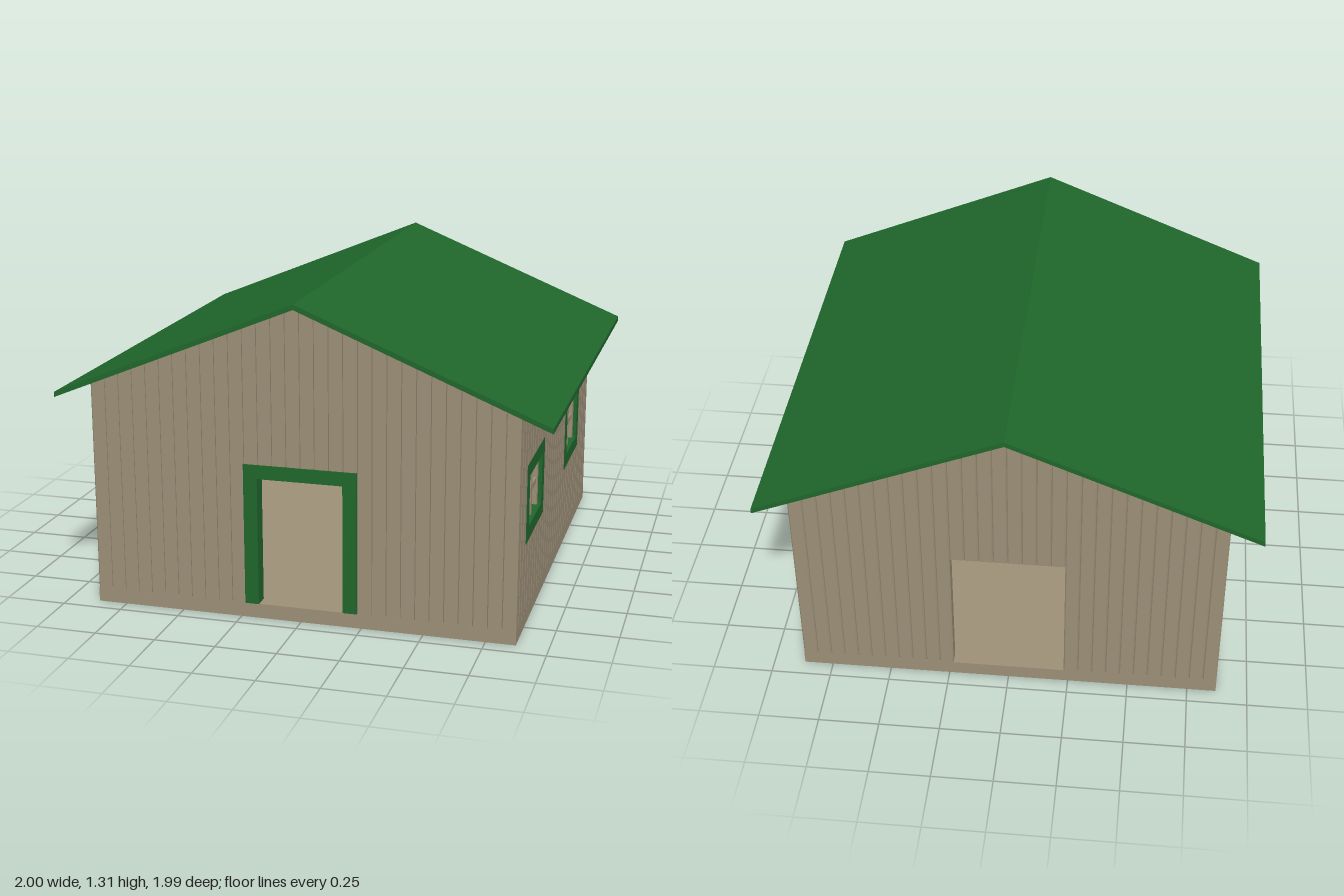
import * as THREE from 'three';
import { mergeGeometries } from 'three/addons/utils/BufferGeometryUtils.js';

const W = 0.87, D = 0.933;          // half width and half depth of the walls
const BASE = 0.06, THICK = 0.058;   // floor height, wall thickness
const N_END = 30, N_SIDE = 32;      // planks per wall
const DOOR_TOP = 0.645, WIN_LOW = 0.352, WIN_TOP = 0.675;
const PITCH = 0.41, RIDGE = 1.31, ROOF_T = 0.021;

const wood = new THREE.MeshStandardMaterial({ color: 0x9c8f77, flatShading: true });
const green = new THREE.MeshStandardMaterial({ color: 0x1f662b, flatShading: true });

const roofUnder = (x) => RIDGE - ROOF_T - PITCH * Math.abs(x);

function add(parent, name, geometry, material) {
  const mesh = new THREE.Mesh(geometry, material);
  mesh.name = name;
  parent.add(mesh);
  return mesh;
}

function box(parent, name, material, size, pos) {
  const mesh = add(parent, name, new THREE.BoxGeometry(...size), material);
  mesh.position.set(...pos);
  return mesh;
}

// Upright plank with chamfered long edges; top = null runs it up to the roof slope
function plank(width, bottom, top, x, z, turned) {
  const a = width / 2, b = THICK / 2, c = 0.005;
  const section = new THREE.Shape([
    [-a + c, -b], [a - c, -b], [a, -b + c], [a, b - c],
    [a - c, b], [-a + c, b], [-a, b - c], [-a, -b + c],
  ].map(([u, v]) => new THREE.Vector2(u, v)));
  const height = (top ?? 1) - bottom;
  const g = new THREE.ExtrudeGeometry(section, { depth: height, bevelEnabled: false });
  g.rotateX(-Math.PI / 2);
  if (turned) g.rotateY(Math.PI / 2);
  g.translate(x, bottom, z);
  if (top === null) {
    const p = g.attributes.position;
    for (let i = 0; i < p.count; i++) {
      if (p.getY(i) > bottom + height / 2) p.setY(i, roofUnder(p.getX(i)));
    }
    g.computeVertexNormals();
  }
  return g;
}

// Gable wall with a doorway eight planks wide
function gableWall(parent, name, z) {
  const w = (2 * W) / N_END, planks = [];
  for (let i = 0; i < N_END; i++) {
    const x = -W + (i + 0.5) * w;
    const overDoor = i >= 11 && i <= 18;
    planks.push(plank(w, overDoor ? DOOR_TOP : BASE, null, x, z, false));
  }
  add(parent, name, mergeGeometries(planks), wood);
}

// Long wall with two window openings seven planks wide
const sideStep = (2 * D) / N_SIDE;
const windowStarts = [3, 20];
function sideWall(parent, name, x) {
  const planks = [];
  for (let i = 1; i < N_SIDE - 1; i++) {
    const z = D - (i + 0.5) * sideStep;
    if (windowStarts.some((s) => i >= s && i < s + 7)) {
      planks.push(plank(sideStep, BASE, WIN_LOW, x, z, true));
      planks.push(plank(sideStep, WIN_TOP, null, x, z, true));
    } else {
      planks.push(plank(sideStep, BASE, null, x, z, true));
    }
  }
  add(parent, name, mergeGeometries(planks), wood);
}

// Green casing with a wooden sash and crossed glazing bars
function windowUnit(name) {
  const g = new THREE.Group();
  g.name = name;
  const w = 7 * sideStep, h = WIN_TOP - WIN_LOW, t = 0.057, depth = THICK + 0.002;
  const inW = w - 2 * t, inH = h - 2 * t, bar = 0.026;
  for (const s of [-1, 1]) {
    box(g, 'casingSide', green, [depth, h, t], [0, 0, s * (w - t) / 2]);
    box(g, 'casingRail', green, [depth, t, inW], [0, s * (h - t) / 2, 0]);
    box(g, 'sashStile', wood, [0.03, inH, bar], [0, 0, s * (inW - bar) / 2]);
  }
  box(g, 'verticalBar', wood, [0.026, inH, bar], [0, 0, 0]);
  box(g, 'crossBar', wood, [0.022, bar, inW - 2 * bar], [0, 0, 0]);
  return g;
}

export function createModel() {
  const house = new THREE.Group();
  house.name = 'cabin';

  box(house, 'floorSlab', wood, [2 * W, BASE, 2 * D], [0, BASE / 2, 0]);

  gableWall(house, 'frontWall', D - THICK / 2);
  gableWall(house, 'backWall', -D + THICK / 2);
  for (const s of [-1, 1]) {
    const side = s > 0 ? 'left' : 'right';
    const x = s * (W - THICK / 2);
    sideWall(house, side + 'Wall', x);
    for (const start of windowStarts) {
      const win = windowUnit(side + (start < 10 ? 'FrontWindow' : 'BackWindow'));
      win.position.set(x, (WIN_LOW + WIN_TOP) / 2, D - (start + 3.5) * sideStep);
      house.add(win);
    }
  }

  // Door frame set in the front opening
  const frame = new THREE.Group();
  frame.name = 'doorFrame';
  const half = (8 * W) / N_END, t = 0.057, depth = THICK + 0.004;
  const z = D - THICK / 2 + 0.002;
  for (const s of [-1, 1]) {
    box(frame, 'doorJamb', green, [t, DOOR_TOP - BASE, depth],
      [s * (half - t / 2), (DOOR_TOP + BASE) / 2, z]);
  }
  box(frame, 'doorLintel', green, [2 * (half - t), t, depth], [0, DOOR_TOP - t / 2, z]);
  house.add(frame);

  // Thin pitched roof overhanging all sides
  const eave = RIDGE - PITCH;
  const profile = new THREE.Shape([
    [-1, eave], [-1, eave - ROOF_T], [0, RIDGE - ROOF_T],
    [1, eave - ROOF_T], [1, eave], [0, RIDGE],
  ].map(([x, y]) => new THREE.Vector2(x, y)));
  const roof = new THREE.ExtrudeGeometry(profile, { depth: 1.99, bevelEnabled: false });
  roof.translate(0, 0, -0.995);
  add(house, 'roof', roof, green);

  return house;
}
